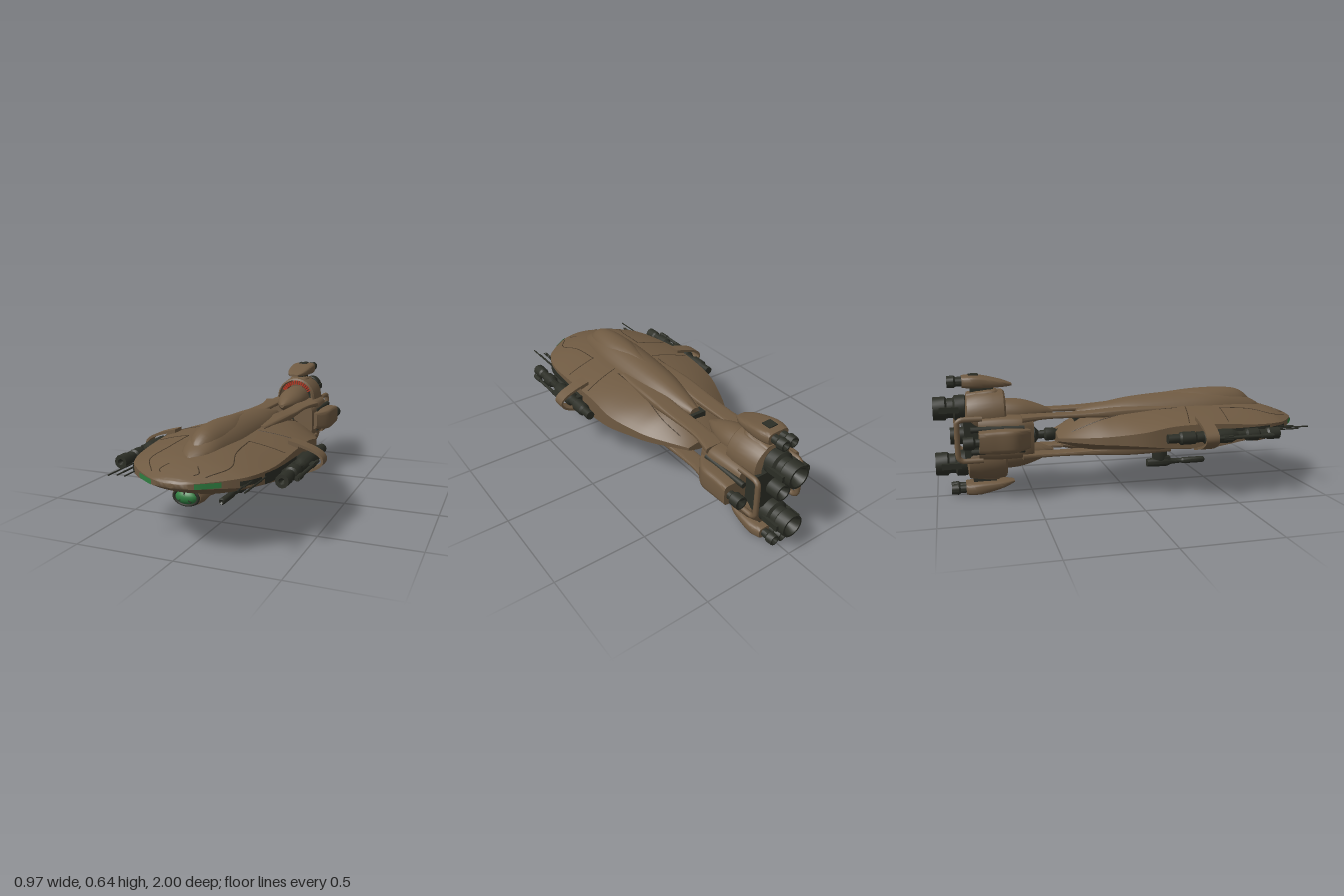
import * as THREE from 'three';
import { toCreasedNormals } from 'three/addons/utils/BufferGeometryUtils.js';

const mat = (name, color, side = THREE.FrontSide) => {
  const m = new THREE.MeshStandardMaterial({ color, side });
  m.name = name;
  return m;
};
const MID = 0.3225; // height of the horizontal symmetry plane of the drive section

export function createModel() {
  const root = new THREE.Group();
  const brown = mat('hull brown', 0x6f5a42, THREE.DoubleSide);
  const shade = mat('panel brown', 0x4a3c2c);
  const dark = mat('machinery', 0x2c2e26, THREE.DoubleSide);
  const green = mat('green glass', 0x2f7d40, THREE.DoubleSide);
  const red = mat('red grille', 0xb5301a);

  const add = (name, geo, m, x = 0, y = 0, z = 0) => {
    const mesh = new THREE.Mesh(geo, m);
    mesh.name = name;
    mesh.position.set(x, y, z);
    root.add(mesh);
    return mesh;
  };
  const box = (name, m, x, y, z, w, h, d) => add(name, new THREE.BoxGeometry(w, h, d), m, x, y, z);

  // Smooth interpolation of rows of section values
  const sample = (keys, steps) => {
    const out = [], n = keys.length - 1;
    for (let i = 0; i <= n * steps; i++) {
      const k = Math.min(Math.floor(i / steps), n - 1), t = i / steps - k;
      const [a, b, c, d] = [Math.max(k - 1, 0), k, k + 1, Math.min(k + 2, n)].map((q) => keys[q]);
      out.push(b.map((_, j) => 0.5 * (2 * b[j] + (c[j] - a[j]) * t
        + (2 * a[j] - 5 * b[j] + 4 * c[j] - d[j]) * t * t
        + (3 * b[j] - a[j] - 3 * c[j] + d[j]) * t * t * t)));
    }
    return out;
  };
  // Skin from closed rings listed front to back, with end caps
  const skin = (rings, zs) => {
    const pos = [], idx = [], n = rings[0].length;
    rings.forEach((r, i) => r.forEach(([x, y]) => pos.push(x, y, zs[i])));
    for (let i = 0; i < rings.length - 1; i++) for (let j = 0; j < n; j++) {
      const k = (j + 1) % n, a = i * n + j, b = i * n + k, c = b + n, d = a + n;
      idx.push(a, d, b, b, d, c);
    }
    const last = (rings.length - 1) * n;
    for (let j = 1; j < n - 1; j++) idx.push(0, j, j + 1, last, last + j + 1, last + j);
    const g = new THREE.BufferGeometry();
    g.setAttribute('position', new THREE.Float32BufferAttribute(pos, 3));
    g.setIndex(idx);
    return toCreasedNormals(g, 0.6);
  };
  // Superellipse loft, keys: z, centre x, centre y, half width, half height
  const pod = (name, m, keys, power = 2, sx = 1, sy = 1) => {
    const rows = sample(keys, 6);
    const rings = rows.map(([, cx, cy, w, h]) => Array.from({ length: 28 }, (_, j) => {
      const a = j / 28 * Math.PI * 2, c = Math.cos(a), s = Math.sin(a);
      const y = MID + (cy - MID) * sy;
      return [cx * sx + w * Math.sign(c) * Math.abs(c) ** (2 / power), y + h * Math.sign(s) * Math.abs(s) ** (2 / power)];
    }));
    return add(name, skin(rings, rows.map((r) => r[0])), m);
  };
  // Turned part along z, profile pairs: radius, z
  const turned = (name, m, profile, x, y, seg = 20) => {
    const g = new THREE.LatheGeometry(profile.map(([r, z]) => new THREE.Vector2(r, z)), seg);
    return add(name, toCreasedNormals(g.rotateX(Math.PI / 2), 0.6), m, x, y, 0);
  };
  const rod = (name, m, x, y, z0, z1, r, seg = 14) =>
    add(name, new THREE.CylinderGeometry(r, r, Math.abs(z1 - z0), seg).rotateX(Math.PI / 2), m, x, y, (z0 + z1) / 2);

  // Main hull, keys: z, half width, top, bottom, upper edge, lower edge
  const hull = sample([
    [1, 0.015, 0.352, 0.33, 0.347, 0.333], [0.985, 0.09, 0.365, 0.318, 0.354, 0.33],
    [0.945, 0.155, 0.382, 0.3, 0.357, 0.328], [0.88, 0.235, 0.405, 0.275, 0.36, 0.322],
    [0.8, 0.3, 0.425, 0.25, 0.365, 0.315], [0.65, 0.345, 0.445, 0.23, 0.372, 0.3],
    [0.4, 0.36, 0.452, 0.22, 0.39, 0.265], [0.2, 0.355, 0.45, 0.215, 0.385, 0.27],
    [0.05, 0.348, 0.445, 0.215, 0.36, 0.285], [-0.08, 0.305, 0.44, 0.215, 0.34, 0.29],
    [-0.2, 0.25, 0.42, 0.22, 0.325, 0.29], [-0.37, 0.13, 0.32, 0.265, 0.305, 0.29],
  ], 6);
  add('hull', skin(hull.map(([, w, t, b, et, eb]) => {
    const ring = [];
    for (let j = 0; j <= 20; j++) { const u = 1 - j / 10; ring.push([u * w, et + (t - et) * (1 - u * u)]); }
    for (let j = 0; j <= 20; j++) { const u = j / 10 - 1; ring.push([u * w, eb + (b - eb) * (1 - u * u)]); }
    return ring;
  }), hull.map((r) => r[0])), brown);
  const hullAt = (z) => {
    const i = Math.max(1, hull.findIndex((r) => r[0] <= z)), a = hull[i - 1], b = hull[i];
    return a.map((v, j) => v + (b[j] - v) * (a[0] - z) / (a[0] - b[0]));
  };
  // Thin plate following the hull edge
  const edgePlate = (name, m, z0, z1, y0, y1, s) => {
    const pos = [], idx = [];
    for (let i = 0; i <= 10; i++) {
      const z = z0 + (z1 - z0) * i / 10, x = s * (hullAt(z)[1] + 0.004);
      pos.push(x, y0, z + 0.003, x, y1, z + 0.003);
      if (i) idx.push(2 * i - 2, 2 * i, 2 * i - 1, 2 * i - 1, 2 * i, 2 * i + 1);
    }
    if (s < 0) idx.reverse();
    const g = new THREE.BufferGeometry();
    g.setAttribute('position', new THREE.Float32BufferAttribute(pos, 3));
    g.setIndex(idx);
    g.computeVertexNormals();
    add(name, g, m);
  };
  // Raised seam following the upper hull surface
  const seam = (pts) => {
    const path = new THREE.CatmullRomCurve3(pts.map(([x, z]) => new THREE.Vector3(x, 0, z))).getPoints(14);
    path.forEach((p) => { const [, w, t, , e] = hullAt(p.z); p.y = e + (t - e) * (1 - (p.x / w) ** 2); });
    add('hullSeam', new THREE.TubeGeometry(new THREE.CatmullRomCurve3(path), 28, 0.0025, 5), shade);
  };

  // Dorsal spine with its raised ridge, and belly keel
  pod('spine', brown, [[0.83, 0, 0.41, 0.01, 0.01], [0.77, 0, 0.41, 0.07, 0.045], [0.65, 0, 0.405, 0.105, 0.098],
    [0.45, 0, 0.4, 0.132, 0.117], [0.1, 0, 0.4, 0.115, 0.097], [-0.1, 0, 0.405, 0.075, 0.062], [-0.25, 0, 0.41, 0.03, 0.025]]);
  pod('spineRidge', brown, [[0.79, 0, 0.41, 0.01, 0.02], [0.68, 0, 0.43, 0.075, 0.085], [0.45, 0, 0.44, 0.095, 0.086],
    [0.17, 0, 0.44, 0.02, 0.062]]);
  pod('keel', brown, [[0.85, 0, 0.27, 0.03, 0.01], [0.72, 0, 0.26, 0.09, 0.052], [0.4, 0, 0.25, 0.13, 0.05],
    [0, 0, 0.25, 0.13, 0.066], [-0.18, 0, 0.25, 0.1, 0.05], [-0.33, 0, 0.25, 0.04, 0.02]]);

  // Chin dome in its rim
  pod('chinHousing', brown, [[0.86, 0, 0.25, 0.07, 0.045], [0.79, 0, 0.25, 0.078, 0.05], [0.65, 0, 0.25, 0.05, 0.03]]);
  add('chinDome', new THREE.SphereGeometry(1, 24, 14), green, 0, 0.248, 0.855).scale.set(0.056, 0.034, 0.03);
  add('chinRim', new THREE.TorusGeometry(0.06, 0.008, 8, 32), dark, 0, 0.248, 0.862).scale.set(1, 0.64, 1);
  for (const a of [0, 2.2, -2.2]) {
    const bar = box('chinBar', dark, Math.sin(a) * 0.025, 0.248 + Math.cos(a) * 0.016, 0.879, 0.005, 0.03, 0.006);
    bar.rotation.z = -a;
  }

  for (const s of [1, -1]) {
    // Windows, edge slots and nose antennas
    edgePlate('frontWindow', green, 0.981, 0.915, 0.331, 0.355, s);
    edgePlate('frontSlot', dark, 0.86, 0.76, 0.328, 0.35, s);
    edgePlate('sideSlot', dark, 0.74, 0.42, 0.31, 0.36, s);
    [[0.275, 0.92], [0.295, 0.9], [0.315, 0.92], [0.328, 0.97]].forEach(([x, z], i) =>
      rod('antenna', dark, s * x, 0.33 + 0.012 * (i % 2), 0.7, z, 0.004, 6));
    seam([[s * 0.16, 0.52], [s * 0.17, 0.7], [s * 0.2, 0.82], [s * 0.13, 0.93]]);
    seam([[s * 0.16, 0.52], [s * 0.25, 0.51], [s * 0.335, 0.5]]);
    seam([[s * 0.13, 0.33], [s * 0.22, 0.31], [s * 0.34, 0.28]]);
    seam([[s * 0.14, 0.28], [s * 0.145, 0], [s * 0.16, -0.18], [s * 0.13, -0.3]]);
    seam([[s * 0.07, 0.88], [s * 0.095, 0.92], [s * 0.08, 0.94]]);

    // Wing loop around the guns
    const loop = (tip, h, x0) => {
      const p = new THREE.Path();
      p.moveTo(s * x0, 0.335 + h);
      p.bezierCurveTo(s * 0.42, 0.335 + h * 0.72, s * tip, 0.335 + h * 0.45, s * tip, 0.335);
      p.bezierCurveTo(s * tip, 0.335 - h * 0.45, s * 0.42, 0.335 - h * 0.72, s * x0, 0.335 - h);
      p.closePath();
      return p;
    };
    const wing = new THREE.Shape(loop(0.487, 0.09, 0.31).getPoints(14));
    wing.holes.push(new THREE.Path(loop(0.477, 0.064, 0.36).getPoints(14)));
    add('wingLoop', toCreasedNormals(new THREE.ExtrudeGeometry(wing, { depth: 0.07, bevelEnabled: false }), 0.5), brown, 0, 0, 0.32);

    // Wing guns
    turned('wingGun', dark, [[0, 0.14], [0.024, 0.14], [0.024, 0.2], [0.034, 0.21], [0.034, 0.28], [0.026, 0.29],
      [0.026, 0.33], [0.038, 0.34], [0.038, 0.48], [0.028, 0.5], [0.02, 0.52], [0.02, 0.56], [0.033, 0.57],
      [0.033, 0.63], [0.024, 0.64], [0.024, 0.68], [0.032, 0.69], [0.032, 0.75], [0.015, 0.75], [0, 0.72]], s * 0.408, 0.335, 12);
    rod('sideBarrel', dark, s * 0.458, 0.335, 0.38, 0.7, 0.009, 8);
    rod('sideBarrelTip', dark, s * 0.458, 0.335, 0.63, 0.69, 0.013, 8);
    rod('innerBarrel', dark, s * 0.37, 0.335, 0.4, 0.62, 0.012, 8);
    box('gunMount', dark, s * 0.38, 0.335, 0.36, 0.07, 0.04, 0.1);
    box('gunBrace', dark, s * 0.435, 0.335, 0.45, 0.06, 0.02, 0.05);

    // Side engine pods, nozzles and rear guard bars
    pod('sidePod', brown, [[-0.52, 0.15, MID, 0.03, 0.05], [-0.6, 0.19, MID, 0.046, 0.06], [-0.7, 0.19, MID, 0.05, 0.06],
      [-0.78, 0.19, MID, 0.05, 0.055]], 5, s);
    turned('sideNozzle', dark, [[0, -0.84], [0.025, -0.86], [0.033, -0.86], [0.033, -0.81], [0.022, -0.8], [0.022, -0.77]], s * 0.205, MID);
    const guard = [[0.43, -0.76], [0.43, -0.86], [0.41, -0.885], [0.24, -0.885], [0.215, -0.86], [0.215, -0.76]]
      .map(([y, z]) => new THREE.Vector3(s * 0.135, y, z));
    add('rearGuard', new THREE.TubeGeometry(new THREE.CatmullRomCurve3(guard, false, 'catmullrom', 0.2), 40, 0.014, 8), brown);
    rod('coolantPipe', dark, s * 0.16, 0.38, -0.55, -0.82, 0.015, 10);
    rod('coolantPipe', dark, s * 0.16, 0.265, -0.55, -0.82, 0.015, 10);

    // Long rails joining hull and drive block
    for (const sy of [1, -1])
      pod('tailRail', brown, [[0.25, 0.09, 0.42, 0.05, 0.03], [0, 0.1, 0.425, 0.052, 0.026], [-0.22, 0.1, 0.424, 0.046, 0.014],
        [-0.42, 0.1, 0.424, 0.044, 0.011], [-0.56, 0.115, 0.42, 0.058, 0.016]], 5, s, sy);
  }

  // Dark core and shaft between the rails
  box('tailCore', dark, 0, MID, -0.12, 0.11, 0.17, 0.3);
  turned('neckShaft', dark, [[0.02, -0.55], [0.045, -0.52], [0.045, -0.48], [0.022, -0.46], [0.022, -0.43], [0.035, -0.42],
    [0.035, -0.38], [0.025, -0.36], [0.05, -0.26]], 0, 0.305);

  // Drive block
  pod('driveBlock', brown, [[-0.5, 0, MID, 0.155, 0.1], [-0.56, 0, MID, 0.168, 0.112], [-0.66, 0, MID, 0.165, 0.115],
    [-0.78, 0, MID, 0.155, 0.11]], 6);
  box('driveRear', dark, 0, MID, -0.8, 0.22, 0.2, 0.1);
  turned('centreNozzle', dark, [[0, -0.86], [0.035, -0.92], [0.045, -0.92], [0.045, -0.8]], 0, MID);

  // Upper and lower engines, mirrored about the middle
  for (const sy of [1, -1]) {
    const Y = (y) => MID + (y - MID) * sy;
    pod('intakeCone', brown, [[-0.38, 0, 0.428, 0.012, 0.01], [-0.45, 0, 0.43, 0.05, 0.042], [-0.55, 0, 0.432, 0.08, 0.072],
      [-0.66, 0, 0.435, 0.08, 0.076], [-0.72, 0, 0.435, 0.06, 0.06]], 2, 1, sy);
    turned('engineCowl', brown, [[0.075, -0.84], [0.11, -0.83], [0.122, -0.78], [0.127, -0.7], [0.122, -0.645], [0.112, -0.635],
      [0.108, -0.66], [0.06, -0.69]], 0, Y(0.438), 32);
    turned('intakeBack', dark, [[0.06, -0.68], [0.111, -0.665]], 0, Y(0.438), 32);
    for (let i = -7; i <= 7; i++) {
      const a = i * 0.15, slat = box('grilleSlat', red, Math.sin(a) * 0.094, Y(0.438 + Math.cos(a) * 0.094), -0.658, 0.008, 0.024, 0.012);
      slat.rotation.z = -a * sy;
    }
    pod('cowlFairing', brown, [[-0.66, 0, 0.51, 0.035, 0.045], [-0.7, 0, 0.515, 0.06, 0.05], [-0.83, 0, 0.505, 0.05, 0.045]], 5, 1, sy);
    turned('mainNozzle', dark, [[0, -0.9], [0.045, -0.99], [0.05, -1], [0.06, -1], [0.062, -0.94], [0.052, -0.93], [0.052, -0.9],
      [0.068, -0.89], [0.068, -0.84], [0.05, -0.82]], 0, Y(0.47), 24);
    for (const s of [1, -1]) box('nozzleBrace', dark, s * 0.068, Y(0.47), -0.92, 0.014, 0.03, 0.1);

    // Outer pod on a short pylon
    box('podPylon', dark, 0, Y(0.57), -0.75, 0.05, 0.04, 0.12);
    pod('outerPod', brown, [[-0.595, 0, 0.585, 0.025, 0.006], [-0.65, 0, 0.593, 0.056, 0.018], [-0.74, 0, 0.603, 0.07, 0.03],
      [-0.8, 0, 0.607, 0.072, 0.033], [-0.85, 0, 0.607, 0.06, 0.03]], 4, 1, sy);
    box('podVent', dark, 0, Y(0.642), -0.79, 0.05, 0.006, 0.05);
    for (const x of [-0.025, 0.025])
      turned('podNozzle', dark, [[0, -0.9], [0.02, -0.925], [0.027, -0.925], [0.03, -0.89], [0.022, -0.88], [0.022, -0.84]], x, Y(0.607), 14);
  }

  // Belly turret
  pod('turretStrut', dark, [[0.27, 0, 0.15, 0.015, 0.055], [0.23, 0, 0.15, 0.025, 0.06], [0.19, 0, 0.15, 0.015, 0.05]], 3);
  turned('turretBody', dark, [[0, 0.15], [0.022, 0.155], [0.026, 0.2], [0.026, 0.27], [0.016, 0.3], [0.013, 0.36], [0.018, 0.37],
    [0.018, 0.49], [0.012, 0.5], [0, 0.49]], 0, 0.106, 14);
  box('turretSight', dark, 0, 0.128, 0.25, 0.04, 0.02, 0.08);
  return root;
}
